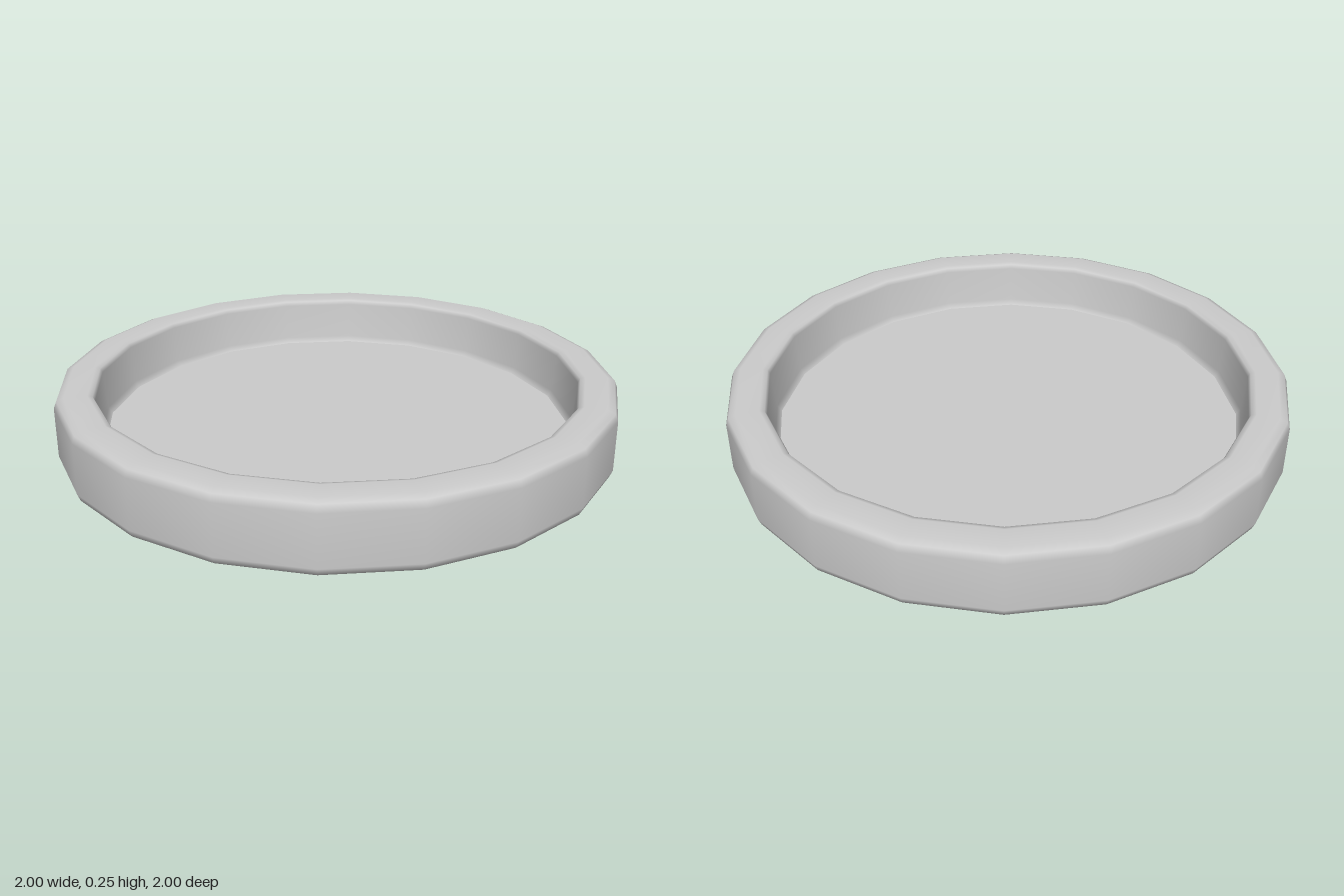
import * as THREE from 'three';

const SIDES = 20;

// Turns a [radius, height] profile into a smooth 20-sided mesh
function turned(name, profile) {
  const points = profile.map(([r, y]) => new THREE.Vector2(r, y));
  const mesh = new THREE.Mesh(
    new THREE.LatheGeometry(points, SIDES),
    new THREE.MeshStandardMaterial({ color: 0xcccccc })
  );
  mesh.name = name;
  return mesh;
}

export function createModel() {
  const model = new THREE.Group();
  model.name = 'shallowRoundTray';

  // Flat underside
  model.add(turned('base', [[0, 0], [0.97, 0]]));

  // Outer wall, softly rounded rim and inner wall
  model.add(turned('rim', [
    [0.97, 0], [0.99, 0.01], [1, 0.035],
    [1, 0.215], [0.99, 0.24], [0.965, 0.25],
    [0.885, 0.25], [0.868, 0.245], [0.86, 0.23],
    [0.85, 0.09], [0.835, 0.07],
  ]));

  // Recessed floor
  model.add(turned('floor', [[0.835, 0.07], [0, 0.07]]));

  return model;
}
